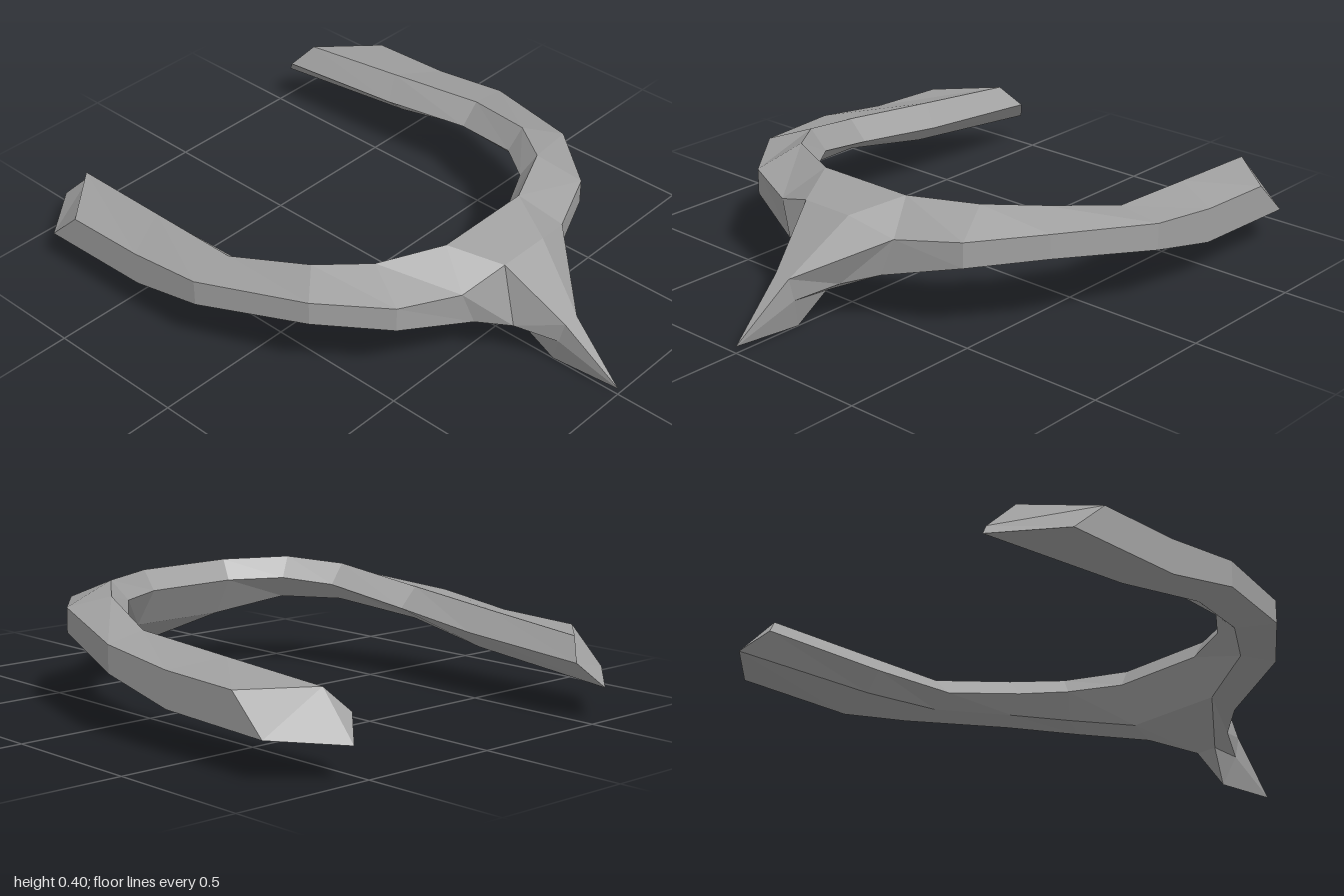
import * as THREE from 'three';

// Pentagon sections along one arm, from the centre to the tip:
// ridge, outer upper, outer lower, inner lower, inner middle
const SECTIONS = [
  [[0.18, 0.4, 0.43], [0.25, 0.31, 0.56], [0.2, 0.178, 0.57], [0.18, 0.2, 0.47], [0.17, 0.33, 0.39]],
  [[0.4, 0.4, 0.33], [0.46, 0.333, 0.475], [0.46, 0.247, 0.475], [0.4, 0.25, 0.36], [0.35, 0.33, 0.3]],
  [[0.52, 0.38, 0.17], [0.63, 0.343, 0.265], [0.63, 0.26, 0.265], [0.52, 0.25, 0.18], [0.46, 0.31, 0.16]],
  [[0.61, 0.32, -0.11], [0.755, 0.295, -0.12], [0.755, 0.203, -0.12], [0.61, 0.207, -0.11], [0.54, 0.25, -0.11]],
  [[0.585, 0.29, -0.48], [0.755, 0.26, -0.4], [0.755, 0.14, -0.4], [0.585, 0.155, -0.44], [0.52, 0.215, -0.45]],
  [[0.56, 0.26, -0.87], [0.755, 0.25, -0.7], [0.755, 0.126, -0.83], [0.56, 0.11, -1], [0.5, 0.187, -0.93]],
];

const flip = ([x, y, z]) => [-x, y, z];

// Makes a faceted mesh from polygons, each split as a fan from its first corner
function facetMesh(name, polygons, material) {
  const positions = [];
  for (const p of polygons) {
    for (let i = 1; i < p.length - 1; i++) positions.push(...p[0], ...p[i], ...p[i + 1]);
  }
  const geometry = new THREE.BufferGeometry();
  geometry.setAttribute('position', new THREE.Float32BufferAttribute(positions, 3));
  geometry.computeVertexNormals();
  const mesh = new THREE.Mesh(geometry, material);
  mesh.name = name;
  return mesh;
}

// Mirrors polygons across x = 0, reversing their corner order
const mirrored = (polygons) => polygons.map((p) => p.map(flip).reverse());

export function createModel() {
  const group = new THREE.Group();
  group.name = 'hornedBand';
  const grey = new THREE.MeshStandardMaterial({ color: 0xa0a0a0 });
  grey.name = 'grey';

  // Curved arms with slanted end caps
  const arm = [];
  for (let i = 0; i < SECTIONS.length - 1; i++) {
    const a = SECTIONS[i], b = SECTIONS[i + 1];
    for (let k = 0; k < 5; k++) {
      const n = (k + 1) % 5;
      arm.push([a[k], a[n], b[n], b[k]]);
    }
  }
  arm.push(SECTIONS[SECTIONS.length - 1]);
  group.add(facetMesh('leftArm', arm, grey), facetMesh('rightArm', mirrored(arm), grey));

  // Corners of the front spike
  const [ridge, outer, lower, innerLow, innerMid] = SECTIONS[0];
  const brow = [0.095, 0.36, 0.6];
  const neck = [0.03, 0.19, 0.8];
  const cheek = [0.1, 0.145, 0.65];
  const jaw = [0.03, 0.11, 0.78];
  const root = [0.04, 0.105, 0.65];
  const tip = [0, 0.022, 1];
  const keel = [0, 0, 0.74];

  // Bridge joining the two arms
  const bridge = [
    [ridge, innerMid, flip(innerMid), flip(ridge)],
    [innerMid, innerLow, flip(innerLow), flip(innerMid)],
    [innerLow, root, flip(root), flip(innerLow)],
    [ridge, flip(ridge), flip(brow), brow],
  ];
  const bridgeSide = [
    [ridge, brow, outer],
    [cheek, lower, outer],
    [lower, cheek, root, innerLow],
  ];
  group.add(facetMesh('bridge', [...bridge, ...bridgeSide, ...mirrored(bridgeSide)], grey));

  // Spike pointing forward and down, with a keel below
  const spikeMiddle = [
    [brow, flip(brow), flip(neck), neck],
    [neck, flip(neck), tip],
    [root, keel, flip(root)],
  ];
  const spikeSide = [
    [neck, tip, jaw],
    [neck, jaw, cheek],
    [tip, keel, jaw],
    [jaw, keel, root],
    [jaw, root, cheek],
  ];
  const leftFlank = [[neck, cheek, outer, brow]];
  const rightFlank = mirrored([[brow, neck, cheek, outer]]).map(([a, b, c, d]) => [b, c, d, a]);
  group.add(facetMesh('spike',
    [...spikeMiddle, ...spikeSide, ...mirrored(spikeSide), ...leftFlank, ...rightFlank], grey));

  return group;
}
